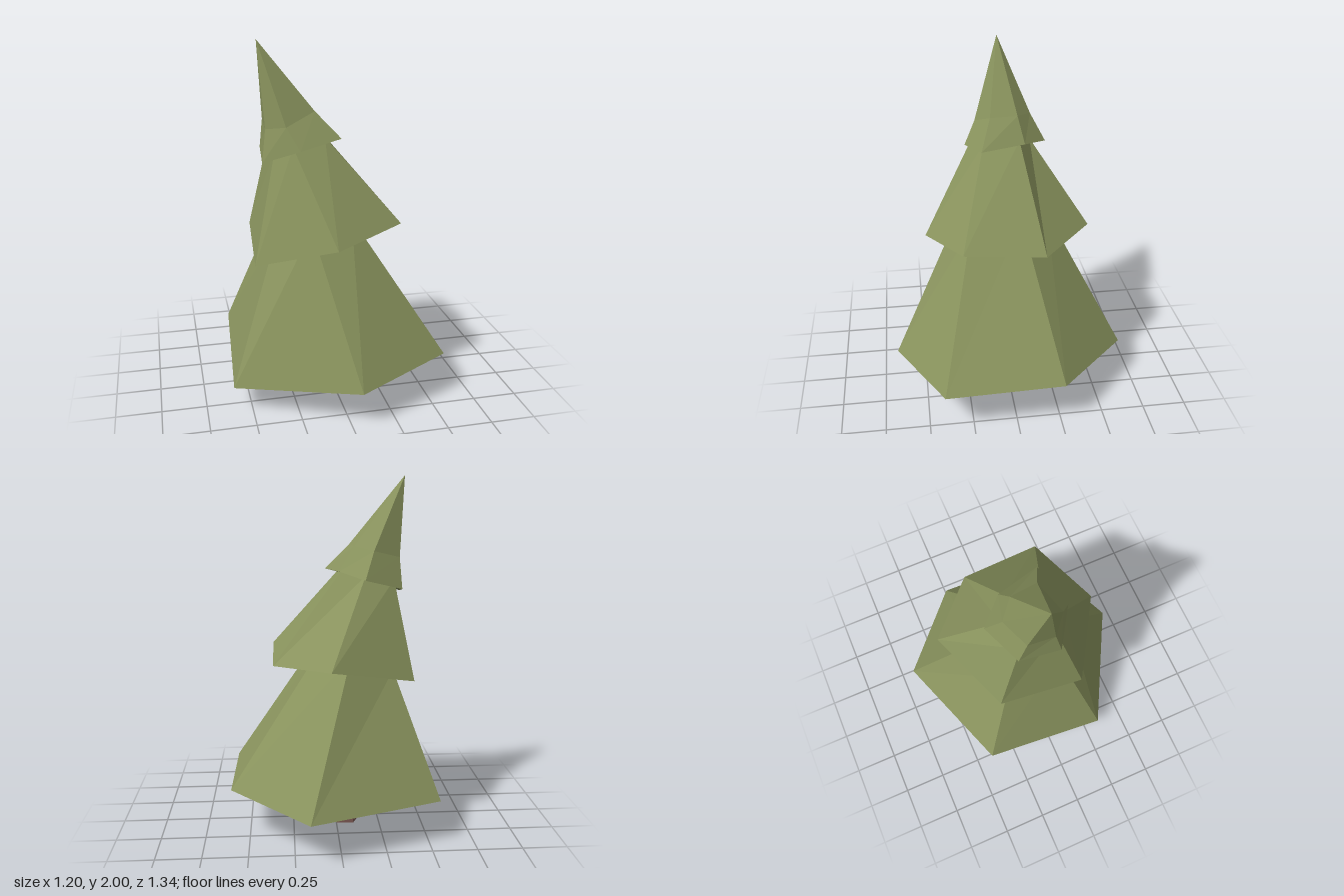
import * as THREE from 'three';

// Faceted solid through a stack of rings (bottom to top), each ring ordered back, right, front, left
function loft(rings) {
  const pos = [];
  const tri = (...pts) => pts.forEach((p) => pos.push(...p));
  const centre = (ring) => [0, 1, 2].map((k) => ring.reduce((s, p) => s + p[k], 0) / ring.length);
  const bottom = rings[0];
  const top = rings[rings.length - 1];
  const n = bottom.length;
  const low = centre(bottom);
  const high = centre(top);
  for (let i = 0; i < n; i++) {
    const j = (i + 1) % n;
    for (let r = 0; r < rings.length - 1; r++) {
      const a = rings[r];
      const b = rings[r + 1];
      tri(a[j], a[i], b[i]);
      tri(a[j], b[i], b[j]);
    }
    tri(low, bottom[i], bottom[j]);
    tri(high, top[j], top[i]);
  }
  const geo = new THREE.BufferGeometry();
  geo.setAttribute('position', new THREE.Float32BufferAttribute(pos, 3));
  geo.computeVertexNormals();
  return geo;
}

// Continue the sloping sides a little way into the tier above
const extend = (a, b, k) => a.map((p, i) => p.map((v, c) => v + (b[i][c] - v) * k));

export function createModel() {
  const tree = new THREE.Group();
  tree.name = 'tree';
  const foliage = new THREE.MeshStandardMaterial({ color: 0x8a945e, flatShading: true });
  foliage.name = 'foliage green';
  const bark = new THREE.MeshStandardMaterial({ color: 0x7d5953, flatShading: true });
  bark.name = 'bark brown';
  const add = (name, rings, material) => {
    const mesh = new THREE.Mesh(loft(rings), material);
    mesh.name = name;
    tree.add(mesh);
  };

  // Lower branches
  const lowBase = [
    [0.17, 0.245, -0.67], [0.6, 0.285, -0.26], [0.59, 0.26, 0.41],
    [0.05, 0.21, 0.665], [-0.6, 0.14, 0.325], [-0.555, 0.25, -0.41],
  ];
  const lowTop = [
    [-0.04, 0.94, -0.3], [0.135, 0.98, -0.1], [0.15, 0.95, 0.23],
    [-0.122, 0.918, 0.31], [-0.35, 0.85, 0.15], [-0.34, 0.86, -0.2],
  ];
  add('lowerBranches', [lowBase, extend(lowBase, lowTop, 1.13)], foliage);

  // Middle branches
  const midBase = [
    [0.05, 1.0, -0.47], [0.356, 0.975, -0.18], [0.356, 1.015, 0.274],
    [-0.04, 0.945, 0.46], [-0.45, 0.81, 0.22], [-0.416, 0.9, -0.277],
  ];
  const midTop = [
    [-0.14, 1.43, -0.18], [-0.01, 1.46, -0.09], [-0.01, 1.45, 0.13],
    [-0.21, 1.41, 0.19], [-0.32, 1.38, 0.1], [-0.325, 1.4, -0.13],
  ];
  add('middleBranches', [midBase, extend(midBase, midTop, 1.08)], foliage);

  // Leaning tip, flared at its lower edge
  const tipBase = [
    [-0.146, 1.45, -0.245], [-0.014, 1.485, -0.11], [0.05, 1.475, 0.137],
    [-0.19, 1.43, 0.21], [-0.38, 1.35, 0.09], [-0.36, 1.39, -0.145],
  ];
  const tipWaist = [
    [-0.2, 1.6, -0.165], [-0.1, 1.62, -0.08], [-0.085, 1.62, 0.075],
    [-0.255, 1.55, 0.145], [-0.355, 1.53, 0.06], [-0.35, 1.56, -0.095],
  ];
  const apex = tipBase.map(() => [-0.385, 2, 0]);
  add('treeTip', [tipBase, tipWaist, apex], foliage);

  // Trunk, with its foot cut unevenly
  const trunkRing = (radius, x, height) => Array.from({ length: 8 }, (_, i) => {
    const a = ((i + 0.5) / 8) * Math.PI * 2;
    const dx = Math.sin(a);
    return [x + radius * dx, height(dx), -radius * Math.cos(a)];
  });
  add('trunk', [
    trunkRing(0.125, -0.05, (dx) => (dx < -0.8 ? 0.06 : 0.01 + 0.01 * Math.max(dx, 0))),
    trunkRing(0.118, -0.065, () => 0.3),
  ], bark);
  tree.getObjectByName('trunk').position.y = -0.01;

  return tree;
}
